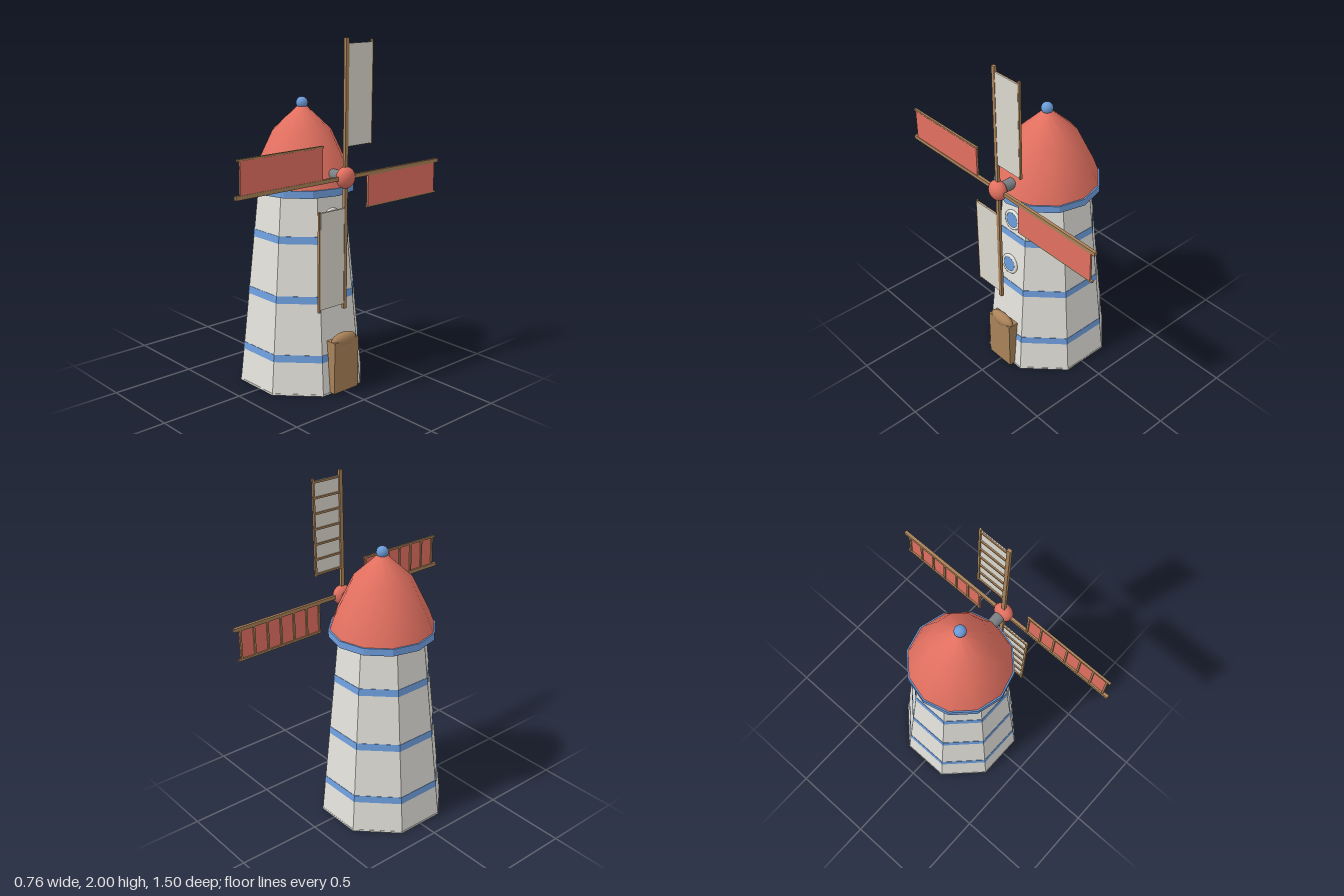
import * as THREE from 'three';

const mat = (color, opts = {}) => new THREE.MeshStandardMaterial({ color, ...opts });
const wall = mat(0xe4e3dc, { flatShading: true });
const blueFlat = mat(0x6f9fdf, { flatShading: true });
const blue = mat(0x6a9ad6);
const red = mat(0xe27060);
const cream = mat(0xdcd9cd);
const wood = mat(0xa98259);
const metal = mat(0x7c8084);

const CX = -0.03;                                   // tower axis
const TOP = 1.15;
const apothem = (y) => 0.35 - 0.095 * y;            // tapering wall, axis to flat
const corner = (y) => apothem(y) / Math.cos(Math.PI / 8);

function add(parent, name, geometry, material, x = 0, y = 0, z = 0) {
  const mesh = new THREE.Mesh(geometry, material);
  mesh.name = name;
  mesh.position.set(x, y, z);
  parent.add(mesh);
  return mesh;
}

// Eight-sided slice of the tower, flats facing the axes
function octagon(parent, name, material, y0, y1, grow = 0) {
  const g = new THREE.CylinderGeometry(corner(y1) + grow, corner(y0) + grow, y1 - y0, 8);
  g.rotateY(Math.PI / 8);
  return add(parent, name, g, material, CX, (y0 + y1) / 2, 0);
}

// One sail arm pointing up, cloth on its -z side and ladder rungs behind
function makeArm(name, cloth) {
  const arm = new THREE.Group();
  arm.name = name;
  add(arm, 'spar', new THREE.BoxGeometry(0.018, 0.75, 0.022), wood, 0, 0.375, 0);
  add(arm, 'cloth', new THREE.BoxGeometry(0.005, 0.55, 0.178), cloth, 0.004, 0.445, -0.096);
  add(arm, 'outerRail', new THREE.BoxGeometry(0.013, 0.57, 0.012), wood, -0.001, 0.45, -0.188);
  for (let i = 0; i < 7; i++) {
    add(arm, 'rung', new THREE.BoxGeometry(0.008, 0.011, 0.18), wood, -0.003, 0.176 + i * 0.0895, -0.096);
  }
  return arm;
}

// Round porthole lying on the sloping wall
function makeWindow(y) {
  const win = new THREE.Group();
  win.name = 'window';
  const frame = add(win, 'windowFrame', new THREE.TorusGeometry(0.052, 0.01, 8, 28), wall.clone());
  frame.material.flatShading = false;
  const glass = add(win, 'windowGlass', new THREE.CylinderGeometry(0.049, 0.049, 0.014, 28), blue);
  glass.rotation.x = Math.PI / 2;
  win.rotation.order = 'YXZ';
  win.rotation.set(-Math.atan(0.095), Math.PI / 2, 0);
  win.position.set(CX + apothem(y) + 0.005, y, 0);
  return win;
}

export function createModel() {
  const mill = new THREE.Group();
  mill.name = 'windmill';

  // Tower
  octagon(mill, 'base', wall, 0, 0.01, 0.002);
  octagon(mill, 'tower', wall, 0.005, TOP);
  for (const y of [0.195, 0.533, 0.871]) octagon(mill, 'band', blueFlat, y, y + 0.042, 0.002);

  // Cap with rim and finial
  add(mill, 'capRim', new THREE.CylinderGeometry(0.308, 0.308, 0.042, 12), blueFlat, CX, 1.159, 0);
  const profile = [[0.3, 1.178], [0.27, 1.26], [0.17, 1.47], [0.03, 1.602], [0, 1.612]]
    .map(([r, y]) => new THREE.Vector2(r, y));
  add(mill, 'cap', new THREE.LatheGeometry(profile, 12), red, CX, 0, 0);
  add(mill, 'finial', new THREE.SphereGeometry(0.034, 20, 14), blue, CX, 1.622, 0);

  // Axle, hub and four sail arms
  const axle = add(mill, 'axle', new THREE.CylinderGeometry(0.033, 0.033, 0.13, 20), metal, 0.255, 1.25, 0);
  axle.rotation.z = Math.PI / 2;
  const rotor = new THREE.Group();
  rotor.name = 'sails';
  rotor.position.set(0.329, 1.25, 0);
  mill.add(rotor);
  add(rotor, 'hub', new THREE.SphereGeometry(0.06, 24, 16), red, 0.002).scale.x = 0.75;
  for (let i = 0; i < 4; i++) {
    const arm = makeArm('sailArm', i % 2 ? red : cream);
    arm.rotation.x = i * Math.PI / 2;
    rotor.add(arm);
  }

  // Door with a rounded hood
  add(mill, 'door', new THREE.BoxGeometry(0.07, 0.305, 0.184), wood, 0.32, 0.1625, 0);
  add(mill, 'doorHood', new THREE.SphereGeometry(1, 24, 16), wood, 0.33, 0.315, 0).scale.set(0.033, 0.041, 0.09);

  // Windows above the door
  mill.add(makeWindow(0.7), makeWindow(1.0));
  return mill;
}
